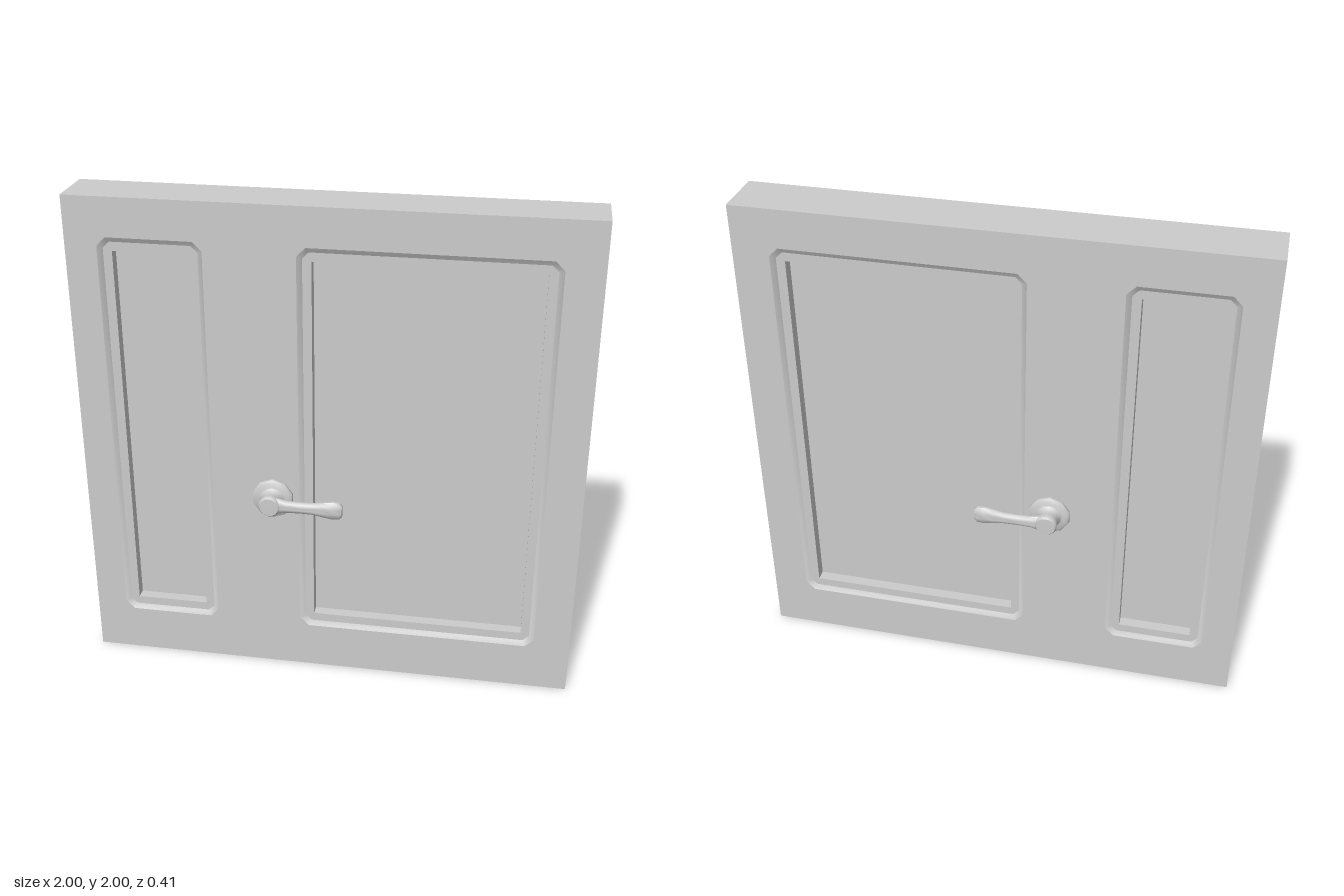
import * as THREE from 'three';
import { toCreasedNormals } from 'three/addons/utils/BufferGeometryUtils.js';

const HALF = 0.11;      // half the slab thickness
const RING = 0.097;     // half thickness at the sunk border of each panel
const FLOOR = 0.053;    // half thickness of the panel itself
const material = new THREE.MeshStandardMaterial({ color: 0xcccccc });

function add(parent, name, geometry) {
  const mesh = new THREE.Mesh(geometry, material);
  mesh.name = name;
  parent.add(mesh);
  return mesh;
}

// Rectangle with cut corners, counter-clockwise
function cutRect(x0, y0, x1, y1, c) {
  return [[x0 + c, y0], [x1 - c, y0], [x1, y0 + c], [x1, y1 - c],
    [x1 - c, y1], [x0 + c, y1], [x0, y1 - c], [x0, y0 + c]].map(([x, y]) => new THREE.Vector2(x, y));
}

function rect(x0, y0, x1, y1) {
  return [[x0, y0], [x1, y0], [x1, y1], [x0, y1]].map(([x, y]) => new THREE.Vector2(x, y));
}

// Plate with holes, centred on z = 0
function plate(outline, holes, half) {
  const shape = new THREE.Shape(outline);
  holes.forEach(h => shape.holes.push(new THREE.Path(h)));
  return new THREE.ExtrudeGeometry(shape, { depth: half * 2, bevelEnabled: false }).translate(0, 0, -half);
}

// Skin over equal-length closed loops of Vector3
function loft(loops, capped) {
  const n = loops[0].length, points = loops.flat(), index = [];
  for (let i = 0; i < loops.length - 1; i++) {
    for (let j = 0; j < n; j++) {
      const a = i * n + j, b = i * n + (j + 1) % n;
      index.push(a, b, b + n, a, b + n, a + n);
    }
  }
  if (capped) {
    const last = (loops.length - 1) * n;
    for (let j = 1; j < n - 1; j++) index.push(0, j + 1, j, last, last + j, last + j + 1);
  }
  const geometry = new THREE.BufferGeometry().setFromPoints(points);
  geometry.setIndex(index);
  geometry.computeVertexNormals();
  return toCreasedNormals(geometry, 0.8);
}

// Lever handle: rosette, neck and lever, growing along +z from the slab face
function makeHandle(name) {
  const handle = new THREE.Group();
  handle.name = name;
  const turned = (profile, sides) => toCreasedNormals(
    new THREE.LatheGeometry(profile.map(([r, z]) => new THREE.Vector2(r, z)), sides).rotateX(Math.PI / 2), 0.8);

  add(handle, 'rosette', turned([[0.076, -0.005], [0.085, 0.007], [0.084, 0.016], [0.07, 0.025], [0, 0.027]], 10));
  add(handle, 'neck', turned([[0.058, 0.02], [0.046, 0.03], [0.04, 0.045], [0.042, 0.06],
    [0.044, 0.084], [0.038, 0.092], [0, 0.093]], 16));

  // Each section: x, y, half height, half thickness
  const sections = [[-0.02, 0, 0.036, 0.015], [0.03, 0, 0.034, 0.018], [0.065, 0, 0.026, 0.018],
    [0.12, 0, 0.024, 0.018], [0.17, 0, 0.025, 0.018], [0.215, 0, 0.033, 0.019],
    [0.25, 0, 0.039, 0.019], [0.28, 0, 0.037, 0.018], [0.291, 0, 0.025, 0.012]];
  const loops = sections.map(([x, y, h, t]) => Array.from({ length: 12 }, (_, i) => {
    const a = (i + 0.5) / 12 * Math.PI * 2;
    return new THREE.Vector3(x, y + h * Math.cos(a), 0.071 + t * Math.sin(a));
  }));
  add(handle, 'lever', loft(loops, true));
  return handle;
}

export function createModel() {
  const model = new THREE.Group();
  model.name = 'door';

  // Openings: left edge, right edge
  const panels = [['narrowPanel', -0.82, -0.525], ['widePanel', -0.06, 0.80]];
  const low = 0.25, high = 1.79, mid = (low + high) / 2;
  const border = (x0, x1, grow, cut) => cutRect(x0 - grow, low - grow, x1 + grow, high + grow, cut);

  // Slab frame
  add(model, 'frame', plate(rect(-1, 0, 1, 2), panels.map(([, x0, x1]) => border(x0, x1, 0.055, 0.035)), HALF));

  for (const [name, x0, x1] of panels) {
    const group = new THREE.Group();
    group.name = name;
    model.add(group);

    // Sunk border around the opening
    add(group, 'border', plate(border(x0, x1, 0.055, 0.035), [rect(x0, low, x1, high)], RING));

    // Sloped moulding on both faces
    const at = (points, z) => points.map(p => new THREE.Vector3(p.x, p.y - mid, z));
    for (const side of [0, 1]) {
      const slope = loft([at(border(x0, x1, 0.055, 0.035), HALF), at(border(x0, x1, 0.035, 0.025), RING)], false);
      const mesh = add(group, side ? 'backMoulding' : 'frontMoulding', slope);
      mesh.position.y = mid;
      mesh.rotation.x = side * Math.PI;
    }

    // Recessed panel
    const panel = add(group, 'panel', new THREE.BoxGeometry(x1 - x0, high - low, FLOOR * 2));
    panel.position.set((x0 + x1) / 2, mid, 0);
  }

  // Handles on both faces
  const front = makeHandle('frontHandle');
  front.position.set(-0.22, 0.8, HALF);
  const back = makeHandle('backHandle');
  back.position.set(-0.22, 0.8, -HALF);
  back.rotation.x = Math.PI;
  model.add(front, back);

  return model;
}
